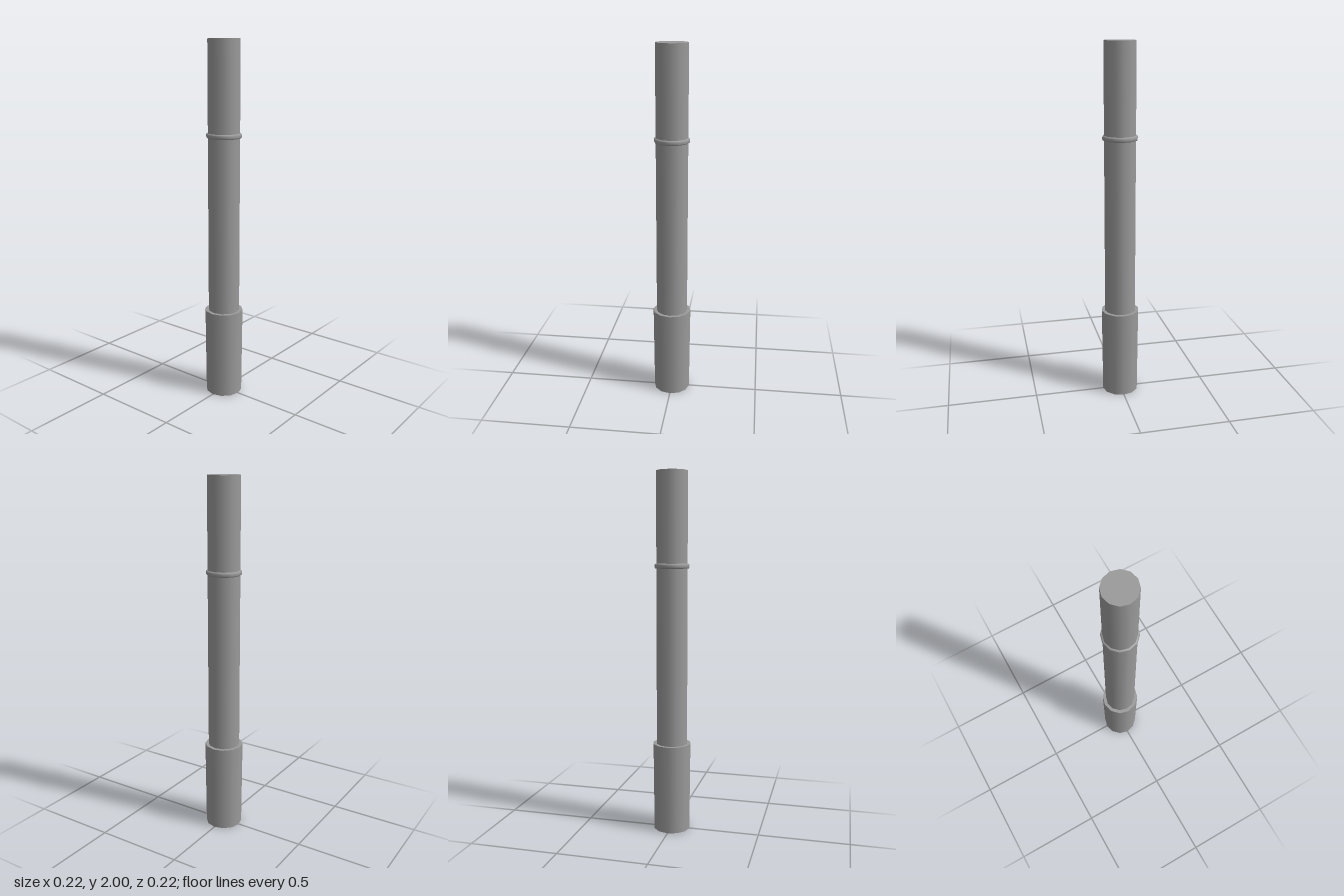
import * as THREE from 'three';

const SIDES = 12;

export function createModel() {
  const group = new THREE.Group();
  const material = new THREE.MeshStandardMaterial({ color: 0x9a9a9a });

  const add = (name, geometry, y) => {
    const mesh = new THREE.Mesh(geometry, material);
    mesh.name = name;
    mesh.position.y = y;
    group.add(mesh);
  };

  // Thicker sleeve at the foot, narrowing slightly downwards
  add('baseSleeve', new THREE.CylinderGeometry(0.1077, 0.103, 0.5, SIDES), 0.25);

  // Long straight shaft
  add('shaft', new THREE.CylinderGeometry(0.088, 0.088, 1.5, SIDES), 1.25);

  // Rounded collar band around the shaft
  const profile = [
    [0.086, -0.014], [0.094, -0.012], [0.0975, -0.006],
    [0.0975, 0.006], [0.094, 0.012], [0.086, 0.014],
  ].map(([r, y]) => new THREE.Vector2(r, y));
  add('collar', new THREE.LatheGeometry(profile, SIDES), 1.495);

  return group;
}
